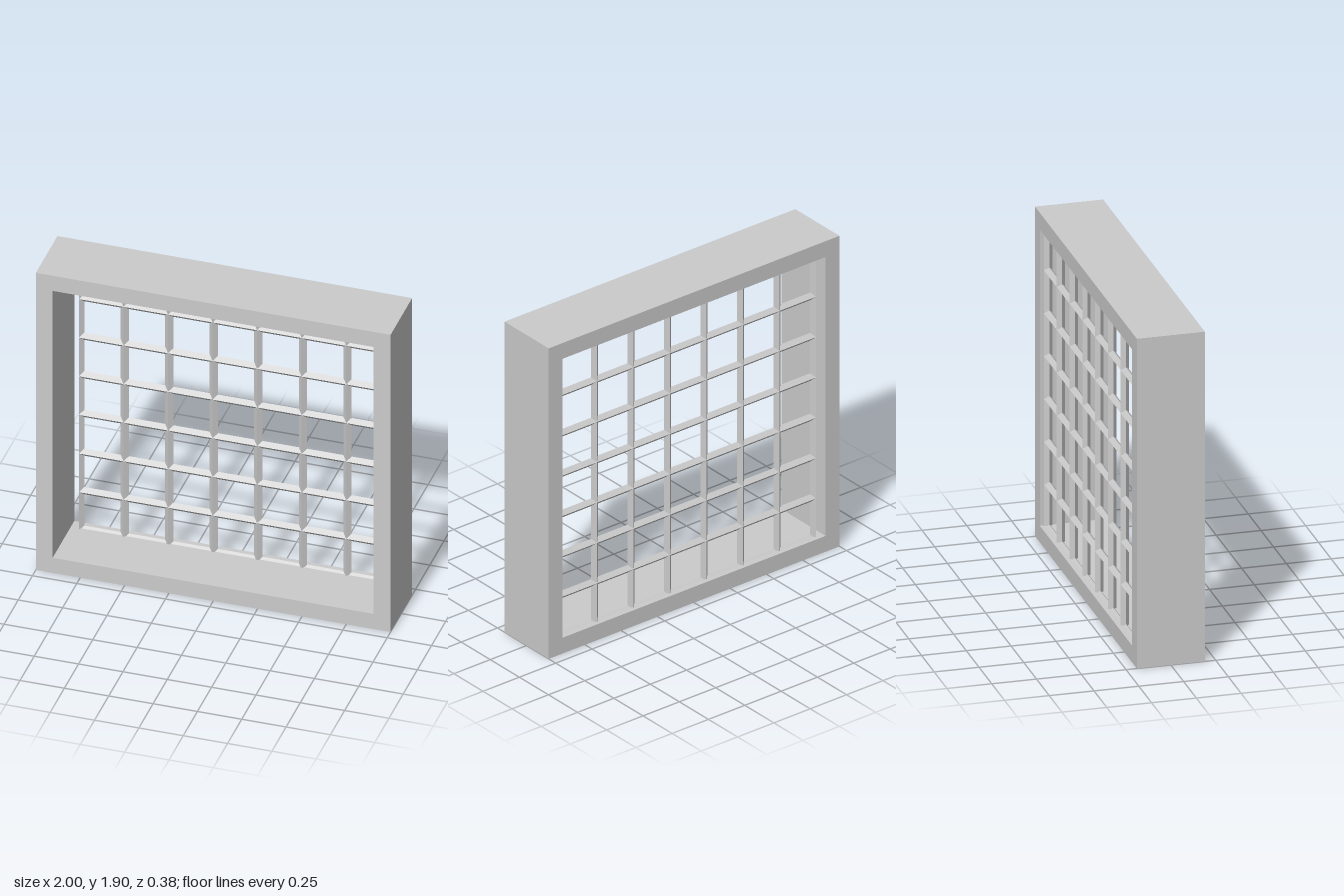
import * as THREE from 'three';

const material = new THREE.MeshStandardMaterial({ color: 0xcccccc, flatShading: true });

// Closed upright bar of diamond section; side +1 or -1 keeps only that half, 0 keeps both
function barGeometry(length, radius, side) {
  const points = [[0, -radius], [radius, 0], [0, radius], [-radius, 0]]
    .filter(([x]) => side === 0 || x * side >= 0)
    .map(([x, y]) => new THREE.Vector2(x, y));
  const geometry = new THREE.ExtrudeGeometry(new THREE.Shape(points), { depth: length, bevelEnabled: false });
  return geometry.rotateX(-Math.PI / 2);
}

export function createModel() {
  const model = new THREE.Group();
  const height = 1.905, depth = 0.38;

  // Deep rectangular frame with a square-edged opening
  const outline = new THREE.Shape([
    new THREE.Vector2(-1, 0), new THREE.Vector2(1, 0),
    new THREE.Vector2(1, height), new THREE.Vector2(-1, height),
  ]);
  outline.holes.push(new THREE.Path([
    new THREE.Vector2(-0.905, 0.097), new THREE.Vector2(-0.905, 1.808),
    new THREE.Vector2(0.905, 1.808), new THREE.Vector2(0.905, 0.097),
  ]));
  const frame = new THREE.Mesh(
    new THREE.ExtrudeGeometry(outline, { depth, bevelEnabled: false }).translate(0, 0, -depth / 2), material);
  frame.name = 'frame';
  model.add(frame);

  // Lattice of 7 by 7 cells near the back, with half bars along its outer edges
  const lattice = new THREE.Group();
  lattice.name = 'lattice';
  const cells = 7, radius = 0.0235;
  const left = -0.857, right = 0.901, bottom = 0.086, top = 1.819;
  for (let i = 0; i <= cells; i++) {
    const side = i === 0 ? 1 : i === cells ? -1 : 0;

    const upright = new THREE.Mesh(barGeometry(top - bottom, radius, side), material);
    upright.name = 'verticalBar';
    upright.position.set(left + (right - left) * i / cells, bottom, 0);

    const rail = new THREE.Mesh(barGeometry(right - left, radius, -side).rotateZ(-Math.PI / 2), material);
    rail.name = 'horizontalBar';
    rail.position.set(left, bottom + (top - bottom) * i / cells, 0);

    lattice.add(upright, rail);
  }
  lattice.position.z = -0.145;
  model.add(lattice);

  return model;
}
